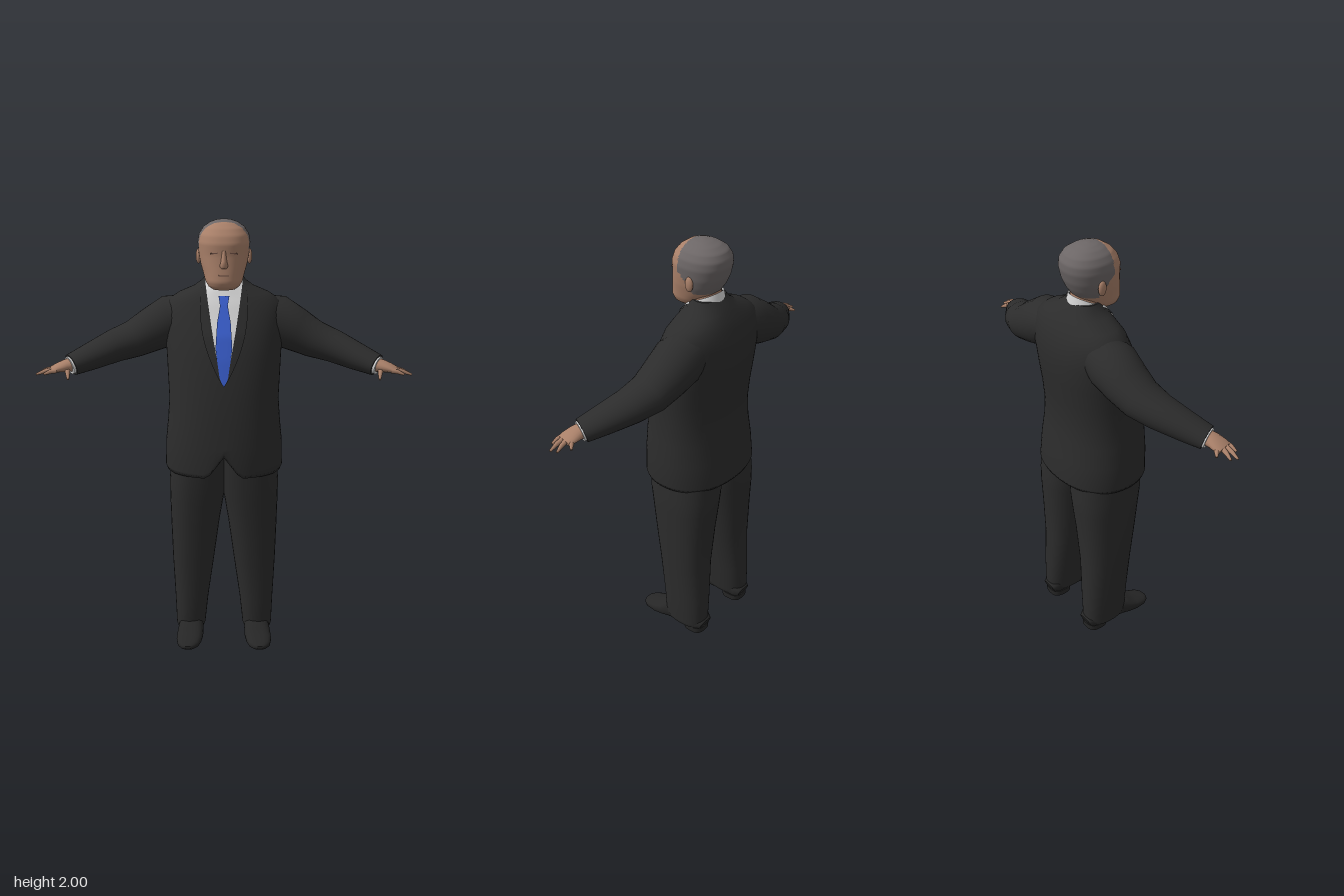
import * as THREE from 'three';

const V = (x, y, z) => new THREE.Vector3(x, y, z);
const mat = (name, color, side = THREE.FrontSide) => {
  const m = new THREE.MeshStandardMaterial({ color, side });
  m.name = name;
  return m;
};

// Interpolated row of a table sorted by its first column
function at(rows, t) {
  let i = 0;
  while (i < rows.length - 2 && t > rows[i + 1][0]) i++;
  const a = rows[i], b = rows[i + 1];
  const k = THREE.MathUtils.clamp((t - a[0]) / (b[0] - a[0]), 0, 1);
  return a.map((v, j) => v + (b[j] - v) * k);
}

// Rounded ring: centre plus two half axes, e = 2 is an ellipse, more is boxier
function ring(c, u, v, n, e) {
  const p = (t) => Math.sign(t) * Math.abs(t) ** (2 / e);
  return Array.from({ length: n }, (_, i) => {
    const a = (i / n) * Math.PI * 2;
    return c.clone().addScaledVector(u, p(Math.cos(a))).addScaledVector(v, p(Math.sin(a)));
  });
}

// Skin over a list of rings, with optional flat end caps
function loft(rings, caps = true) {
  const n = rings[0].length, pos = [], idx = [];
  const add = (p) => pos.push(p.x, p.y, p.z) / 3 - 1;
  rings.forEach((r) => r.forEach(add));
  for (let r = 0; r < rings.length - 1; r++) for (let i = 0; i < n; i++) {
    const a = r * n + i, b = r * n + (i + 1) % n;
    idx.push(a, b, b + n, a, b + n, a + n);
  }
  if (caps) [rings[0], rings.at(-1)].forEach((r, end) => {
    const c = add(r.reduce((s, p) => s.add(p), V(0, 0, 0)).divideScalar(n));
    const ids = r.map(add);
    ids.forEach((q, i) => {
      const w = ids[(i + 1) % n];
      idx.push(c, ...(end ? [q, w] : [w, q]));
    });
  });
  const g = new THREE.BufferGeometry();
  g.setAttribute('position', new THREE.Float32BufferAttribute(pos, 3));
  g.setIndex(idx);
  g.computeVertexNormals();
  return g;
}

// Upright loft from rows of [y, xMin, xMax, zFront, zBack]
function upright(rows, n, e, bend = (p) => p, caps = true) {
  return loft(rows.map(([y, x0, x1, f, b]) =>
    ring(V((x0 + x1) / 2, y, (f + b) / 2), V((x1 - x0) / 2, 0, 0), V(0, 0, -(f - b) / 2), n, e).map(bend)), caps);
}

// Limb loft from rows of [x, y, z, half height, half width]; rings follow the path
function limb(rows, n = 20, e = 2, caps = true) {
  const c = rows.map((r) => V(r[0], r[1], r[2]));
  return loft(rows.map((r, i) => {
    const d = c[Math.min(i + 1, c.length - 1)].clone().sub(c[Math.max(i - 1, 0)]).normalize();
    const h = V(0, 1, 0).cross(d).normalize();
    return ring(c[i], h.clone().multiplyScalar(r[4]), d.cross(h).multiplyScalar(r[3]), n, e);
  }), caps);
}

const even = (rows) => rows.map(([y, w, f, b]) => [y, -w, w, f, b]);

// Jacket sections: y, half width, front z, back z
const JACKET = [
  [0.865, 0.262, 0.212, -0.203], [0.885, 0.27, 0.219, -0.212], [1, 0.267, 0.216, -0.2],
  [1.1, 0.257, 0.21, -0.186], [1.2, 0.25, 0.2, -0.182], [1.3, 0.255, 0.186, -0.19],
  [1.4, 0.26, 0.166, -0.203], [1.5, 0.268, 0.138, -0.212], [1.58, 0.272, 0.1, -0.203],
  [1.635, 0.255, 0.075, -0.185], [1.67, 0.205, 0.056, -0.165], [1.7, 0.135, 0.042, -0.148],
  [1.725, 0.1, 0.025, -0.128], [1.75, 0.083, 0.01, -0.108]];
const E = 2.25;

function chestZ(x, y) {
  const [, w, f, b] = at(JACKET, y);
  const k = Math.min(Math.abs(x) / w, 0.97);
  return (f + b) / 2 + (f - b) / 2 * (1 - k ** E) ** (1 / E);
}

// Thin panel lying on the chest between two edge curves
function chestPanel(xa, xb, y0, y1, lift) {
  const g = new THREE.PlaneGeometry(1, 1, 10, 28), p = g.attributes.position;
  for (let i = 0; i < p.count; i++) {
    const y = y0 + (p.getY(i) + 0.5) * (y1 - y0);
    const x = xa(y) + (xb(y) - xa(y)) * (p.getX(i) + 0.5);
    p.setXYZ(i, x, y, chestZ(x, y) + lift);
  }
  g.computeVertexNormals();
  return g;
}

// Head sections: y, half width, front z, back z
const HEAD = [
  [1.7, 0.05, 0.1, 0], [1.712, 0.068, 0.12, -0.02], [1.735, 0.082, 0.13, -0.05],
  [1.77, 0.092, 0.127, -0.088], [1.81, 0.104, 0.122, -0.115], [1.85, 0.112, 0.118, -0.133],
  [1.9, 0.117, 0.12, -0.145], [1.935, 0.111, 0.108, -0.143], [1.965, 0.092, 0.083, -0.125],
  [1.985, 0.064, 0.052, -0.092], [1.996, 0.035, 0.02, -0.055], [2, 0.008, -0.01, -0.025]];
const HAIRLINE = [[1.78, -0.03], [1.82, -0.015], [1.86, 0.015], [1.875, 0.036], [2, 0.036]];

export function createModel() {
  const model = new THREE.Group();
  const suit = mat('charcoal suit', 0x2c2c2c), shoe = mat('black shoe', 0x262626);
  const skin = mat('skin', 0xa98069), hair = mat('grey hair', 0x6c6666);
  const shirt = mat('white shirt', 0xd8d8d8, THREE.DoubleSide);
  const tie = mat('blue tie', 0x3a5fcf, THREE.DoubleSide), line = mat('face shadow line', 0x6e5044);
  const put = (name, geo, m, parent = model) => {
    const o = new THREE.Mesh(geo, m);
    o.name = name;
    parent.add(o);
    return o;
  };

  // Jacket, with a hem turned inwards and a small cutaway at the front
  const hem = (p) => {
    if (p.z > 0 && p.y < 1) p.y += 0.1 * Math.max(0, 1 - Math.abs(p.x) / 0.075) * Math.min(1, (1 - p.y) / 0.11);
    return p;
  };
  put('jacket', upright(even([[0.9, 0.25, 0.195, -0.188], ...JACKET]), 64, E, hem), suit);

  // Shirt front, lapels and tie
  const vee = (y) => 0.084 * Math.max(0, (y - 1.29) / 0.44) ** 0.75;
  put('shirtFront', chestPanel((y) => -vee(y), vee, 1.29, 1.73, 0.005), shirt);
  const TIE = [[1.285, 0], [1.32, 0.018], [1.45, 0.037], [1.56, 0.03], [1.63, 0.017], [1.67, 0.024]];
  const tw = (y) => at(TIE, y)[1];
  put('tie', chestPanel((y) => -tw(y), tw, 1.285, 1.67, 0.012), tie);
  const lapel = (y) => vee(y) + 0.045 * Math.sin(Math.PI * THREE.MathUtils.clamp((y - 1.28) / 0.5, 0, 1));
  put('leftLapel', chestPanel(vee, lapel, 1.29, 1.72, 0.007), suit);
  put('rightLapel', chestPanel((y) => -lapel(y), (y) => -vee(y), 1.29, 1.72, 0.007), suit);

  // Neck and collar, the collar dipping towards the front
  put('neck', upright(even([[1.64, 0.075, 0.03, -0.11], [1.72, 0.07, 0.05, -0.1], [1.8, 0.075, 0.06, -0.095]]), 32, 2), skin);
  const dip = (p) => p.setY(p.y - (p.z + 0.04) * 0.45);
  put('collar', upright(even([[1.69, 0.088, 0.046, -0.118], [1.752, 0.076, 0.044, -0.108]]), 32, 2, dip, false), shirt);

  // Head, the faces behind the hairline painted as hair
  const rows = Array.from({ length: 49 }, (_, i) => at(HEAD, 1.7 + 0.3 * Math.sin(i / 48 * Math.PI / 2) ** 1.15));
  const head = upright(even(rows), 72, 2.2);
  const P = head.attributes.position, ids = [...head.index.array], parts = [[], []];
  for (let i = 0; i < ids.length; i += 3) {
    const f = ids.slice(i, i + 3);
    const y = f.reduce((s, k) => s + P.getY(k) / 3, 0), z = f.reduce((s, k) => s + P.getZ(k) / 3, 0);
    parts[y > 1.78 && z < at(HAIRLINE, y)[1] ? 1 : 0].push(...f);
  }
  head.setIndex(parts.flat());
  head.addGroup(0, parts[0].length, 0);
  head.addGroup(parts[0].length, parts[1].length, 1);
  put('head', head, [skin, hair]);

  // Face
  put('nose', upright([[1.797, -0.012, 0.012, 0.132, 0.1], [1.808, -0.019, 0.019, 0.146, 0.1],
    [1.83, -0.013, 0.013, 0.139, 0.1], [1.875, -0.008, 0.008, 0.124, 0.1]], 14, 2), skin);
  put('mouth', new THREE.BoxGeometry(0.045, 0.004, 0.008), line).position.set(0, 1.768, 0.124);

  for (const s of [1, -1]) {
    const side = new THREE.Group();
    side.name = s > 0 ? 'leftSide' : 'rightSide';
    model.add(side);
    const m = (r) => [r[0] * s, ...r.slice(1)];

    const brow = put('eyeLine', new THREE.BoxGeometry(0.034, 0.005, 0.008), line, side);
    brow.position.set(0.043 * s, 1.862, 0.109);
    brow.rotation.set(0, 0.18 * s, -0.12 * s);
    const ear = put('ear', new THREE.SphereGeometry(1, 16, 12), skin, side);
    ear.scale.set(0.012, 0.034, 0.02);
    ear.position.set(0.114 * s, 1.835, -0.03);

    // Sleeve, cuff and hand
    put('sleeve', limb([[0.14, 1.57, -0.07, 0.09, 0.095], [0.24, 1.54, -0.07, 0.115, 0.115],
      [0.33, 1.495, -0.065, 0.1, 0.107], [0.41, 1.455, -0.053, 0.085, 0.1], [0.5, 1.427, -0.025, 0.074, 0.088],
      [0.6, 1.39, 0.028, 0.061, 0.075], [0.686, 1.36, 0.074, 0.048, 0.064]].map(m), 28), suit, side);
    put('cuff', limb([[0.67, 1.364, 0.066, 0.041, 0.055], [0.694, 1.358, 0.078, 0.04, 0.054]].map(m)), shirt, side);
    put('palm', limb([[0.68, 1.362, 0.071, 0.032, 0.04], [0.71, 1.358, 0.083, 0.028, 0.042],
      [0.745, 1.351, 0.09, 0.02, 0.046], [0.772, 1.344, 0.096, 0.011, 0.042]].map(m)), skin, side);
    const fingers = [[0.745, 1.345, 0.126, 0.802, 1.33, 0.134], [0.76, 1.346, 0.108, 0.84, 1.324, 0.108],
      [0.765, 1.346, 0.087, 0.83, 1.326, 0.078], [0.755, 1.346, 0.066, 0.79, 1.335, 0.036],
      [0.7, 1.345, 0.108, 0.692, 1.312, 0.158]];
    fingers.forEach(([x, y, z, a, b, c], i) => put(i < 4 ? 'finger' : 'thumb', limb([[x, y, z, 0.011, 0.012],
      [(x + a) / 2, (y + b) / 2 + 0.004, (z + c) / 2, 0.01, 0.01], [a, b, c, 0.005, 0.005]].map(m), 10), skin, side));

    // Trouser leg
    const leg = [[0.035, 0.1, 0.222, 0.05, -0.15], [0.06, 0.09, 0.23, 0.066, -0.157], [0.2, 0.075, 0.235, 0.076, -0.158],
      [0.4, 0.047, 0.244, 0.096, -0.152], [0.6, 0.02, 0.25, 0.125, -0.164], [0.72, 0, 0.253, 0.142, -0.174],
      [0.8, -0.015, 0.254, 0.155, -0.178], [0.97, -0.03, 0.24, 0.17, -0.17]];
    put('trouserLeg', upright(leg.map(([y, a, b, f, k]) =>
      [y, Math.min(a * s, b * s), Math.max(a * s, b * s), f, k]), 36, 2.4), suit, side);

    // Shoe and heel
    put('shoe', limb([[0.155, 0.045, -0.155, 0.025, 0.04], [0.155, 0.055, -0.13, 0.04, 0.055],
      [0.156, 0.06, -0.03, 0.045, 0.056], [0.158, 0.056, 0.05, 0.05, 0.06], [0.161, 0.042, 0.085, 0.038, 0.062],
      [0.166, 0.033, 0.13, 0.028, 0.06], [0.169, 0.029, 0.175, 0.021, 0.05], [0.17, 0.027, 0.198, 0.014, 0.032],
      [0.17, 0.027, 0.206, 0.007, 0.015]].map(m), 24, 2.6), shoe, side);
    put('heel', upright([[0, -0.052, 0.052, -0.045, -0.153], [0.03, -0.053, 0.053, -0.04, -0.155]], 24, 2.8), shoe, side)
      .position.x = 0.155 * s;
  }
  return model;
}
